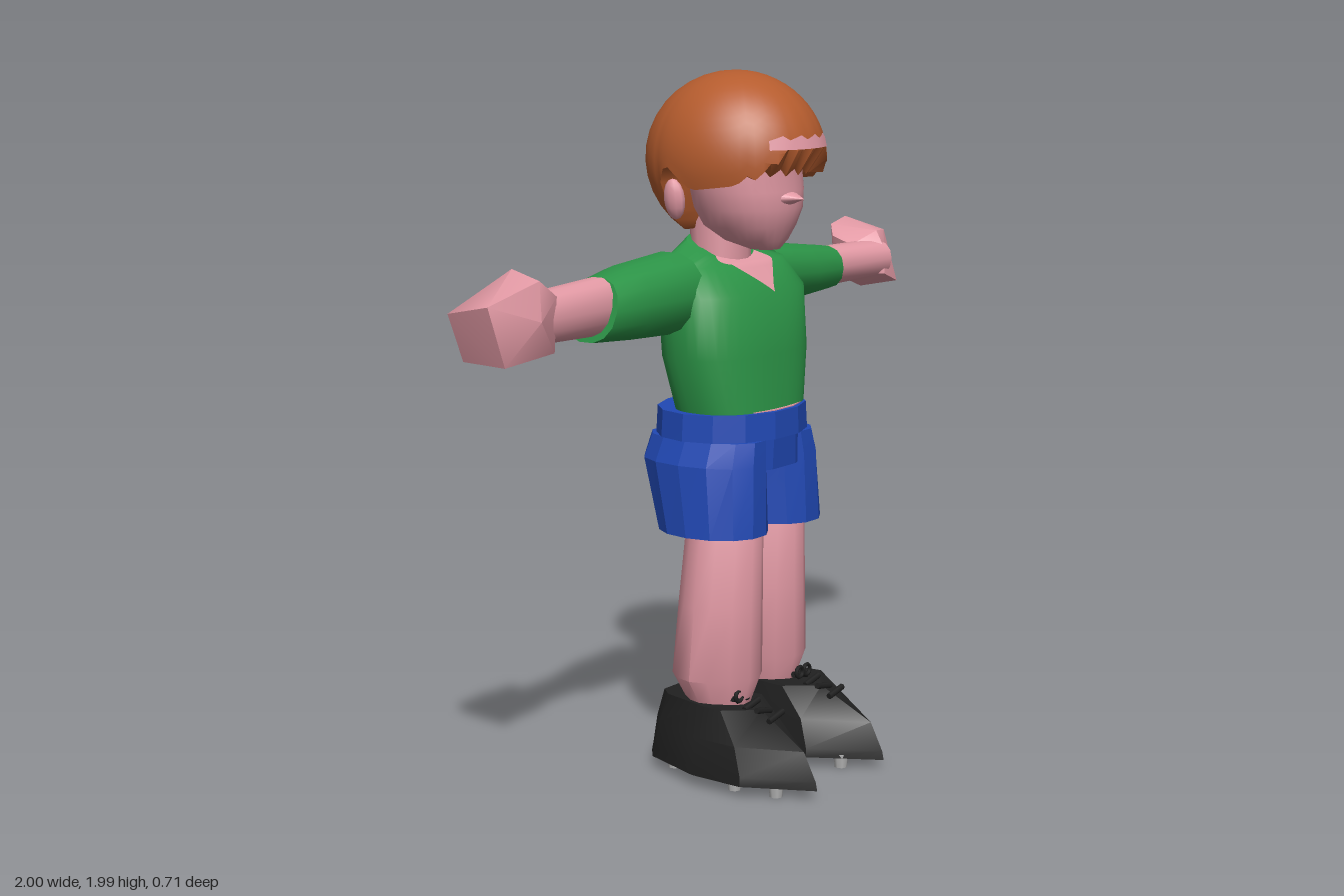
import * as THREE from 'three';
import { toCreasedNormals } from 'three/addons/utils/BufferGeometryUtils.js';
import { ConvexGeometry } from 'three/addons/geometries/ConvexGeometry.js';

const paint = (name, color, side = THREE.FrontSide) => {
  const m = new THREE.MeshStandardMaterial({ color, side });
  m.name = name;
  return m;
};
const V = (x, y, z) => new THREE.Vector3(x, y, z);
const lerp = THREE.MathUtils.lerp;

// Skin rings of points into a surface; closed solids get end caps and outward faces
function skin(rings, { closed = true, caps = true, crease = 0.75 } = {}) {
  const n = rings[0].length, pos = [], idx = [];
  rings.forEach(r => r.forEach(p => pos.push(p.x, p.y, p.z)));
  for (let i = 0; i < rings.length - 1; i++) {
    for (let j = 0; j < (closed ? n : n - 1); j++) {
      const a = i * n + j, b = i * n + (j + 1) % n;
      idx.push(a, b, b + n, a, b + n, a + n);
    }
  }
  if (caps) [0, rings.length - 1].forEach((i, end) => {
    const c = V(0, 0, 0);
    rings[i].forEach(p => c.addScaledVector(p, 1 / n));
    const k = pos.push(c.x, c.y, c.z) / 3 - 1;
    for (let j = 0; j < n; j++) {
      const a = i * n + j, b = i * n + (j + 1) % n;
      idx.push(...(end ? [k, a, b] : [k, b, a]));
    }
  });
  const at = i => V(pos[i * 3], pos[i * 3 + 1] - 1, pos[i * 3 + 2]);
  let volume = 0;
  for (let i = 0; i < idx.length; i += 3) volume += at(idx[i]).dot(at(idx[i + 1]).cross(at(idx[i + 2])));
  if (volume < 0) idx.reverse();
  const g = new THREE.BufferGeometry();
  g.setAttribute('position', new THREE.Float32BufferAttribute(pos, 3));
  g.setIndex(idx);
  return toCreasedNormals(g, crease);
}

// Rounded-square section point; section = [position, centre1, centre2, half1, half2, tilt]
function sectionPoint([t, c1, c2, h1, h2, tilt = 0], a, p, axis) {
  const f = v => Math.sign(v) * Math.abs(v) ** (2 / p);
  const u = c1 + h1 * f(Math.sin(a)), w = c2 + h2 * f(Math.cos(a));
  const along = t - tilt * Math.cos(a);
  return axis === 'x' ? V(along, w, u) : V(u, along, w);
}
function loft(sections, { n = 16, p = 2.3, axis = 'y', ...rest } = {}) {
  return skin(sections.map(s => Array.from({ length: n },
    (_, j) => sectionPoint(s, (j + 0.5) / n * Math.PI * 2, p, axis))), rest);
}

export function createModel() {
  const model = new THREE.Group();
  const skinTone = paint('skin', 0xe39aa5, THREE.DoubleSide);
  const hairTone = paint('hair', 0xb55c2e, THREE.DoubleSide);
  const green = paint('shirt green', 0x2c9447);
  const blue = paint('shorts blue', 0x2149b5);
  const black = paint('shoe black', 0x202020);
  const grey = paint('stud grey', 0xb4b4b4);
  const add = (name, geo, mat) => {
    const m = new THREE.Mesh(geo, mat);
    m.name = name;
    model.add(m);
    return m;
  };

  // Shirt body, sloping up towards the back of the neck
  const torso = [
    [1.04, 0.01, -0.065, 0.21, 0.145], [1.2, 0.015, -0.085, 0.255, 0.15],
    [1.37, 0.02, -0.1, 0.265, 0.143], [1.45, 0.015, -0.135, 0.243, 0.108],
    [1.495, 0.0, -0.13, 0.11, 0.07, 0.035]];
  add('shirt', loft(torso, { n: 36, p: 2.5, crease: 0.9 }), green);
  add('waist', loft([[1.0, 0.01, -0.07, 0.19, 0.16], [1.048, 0.01, -0.07, 0.19, 0.16]]), skinTone);

  // Open V of the collar, laid just over the shirt
  const collar = [];
  for (let i = 0; i <= 12; i++) {
    const t = 2 + i / 6, k = Math.min(Math.floor(t), 3);
    const s = [0, 1, 2, 3, 4, 5].map(q => lerp(torso[k][q] ?? 0, torso[k + 1][q] ?? 0, t - k));
    const half = 0.9 * (i / 12) ** 1.5 + 0.001;
    collar.push(Array.from({ length: 13 }, (_, j) =>
      sectionPoint(s, (j / 6 - 1) * half, 2.5, 'y').add(V(0, 0.004, 0.006))));
  }
  add('collarOpening', skin(collar, { closed: false, caps: false }), skinTone);

  // Neck, rounded face, small pointed nose and ears
  add('neck', loft([[1.42, 0, -0.12, 0.085, 0.075], [1.6, 0, -0.13, 0.085, 0.085]]), skinTone);
  add('face', loft([
    [1.495, 0.01, 0.02, 0.04, 0.045], [1.52, 0.01, -0.01, 0.09, 0.09], [1.56, 0.01, -0.03, 0.132, 0.127],
    [1.61, 0.01, -0.035, 0.158, 0.148], [1.66, 0.01, -0.04, 0.173, 0.15], [1.72, 0.005, -0.05, 0.18, 0.155],
    [1.785, 0.005, -0.055, 0.18, 0.16], [1.9, 0, -0.07, 0.1, 0.12]],
    { n: 28, p: 2.1, crease: 1.3 }), skinTone);
  const nose = new THREE.ConeGeometry(0.055, 0.08, 16).rotateX(Math.PI / 2).scale(1.3, 0.55, 1);
  add('nose', nose.translate(0.01, 1.64, 0.115), skinTone);
  for (const s of [-1, 1]) {
    const ear = new THREE.SphereGeometry(1, 10, 8).scale(0.024, 0.058, 0.033).rotateZ(-s * 0.15);
    add(s > 0 ? 'leftEar' : 'rightEar', ear.translate(s * 0.195, 1.64, -0.14), skinTone);
  }

  // Hair: a cap whose lower edge follows fringe, temples, ears and nape
  const edge = [[0, 1.79], [22, 1.785], [38, 1.725], [60, 1.685], [88, 1.67], [105, 1.73],
    [113, 1.72], [120, 1.6], [131, 1.545], [180, 1.555]];
  const edgeY = deg => {
    const i = Math.max(1, edge.findIndex(e => e[0] >= deg));
    const [a, b] = [edge[i - 1], edge[i]];
    return lerp(a[1], b[1], (deg - a[0]) / (b[0] - a[0]));
  };
  const scalp = (a, th, r, y = 1.745 + 0.245 * Math.cos(th)) => V(0.005 + 0.235 * r * Math.sin(a), y, -0.075 + 0.265 * r * Math.cos(a));
  const hairRings = [];
  for (let i = 0; i <= 15; i++) {
    hairRings.push(Array.from({ length: 72 }, (_, j) => {
      const deg = j * 5 > 180 ? 360 - j * 5 : j * 5, a = j * 5 * Math.PI / 180;
      const jag = deg < 60 ? (j % 3 - 1) * 0.01 : 0;
      const low = Math.acos((edgeY(deg) + jag - 1.745) / 0.245);
      const th = low * Math.min(i, 14) / 14 + 0.001, r = Math.sin(th);
      // the last ring tucks under; at the brow it also drops as a second fringe
      if (i < 15) return scalp(a, th, r);
      return deg < 45 ? scalp(a, th, 0.8, 1.715 + jag) : scalp(a, th, r * 0.6);
    }));
  }
  add('hair', skin(hairRings, { caps: false, crease: 0.9 }), hairTone);

  // Sliver of forehead between the two layers of fringe
  add('foreheadSliver', skin([0, 1].map(k => Array.from({ length: 13 }, (_, j) => {
    const th = Math.acos((1.782 + k * (0.026 + (j % 3) * 0.006) - 1.745) / 0.245);
    return scalp((j / 12 * 62 - 36) * Math.PI / 180, th, Math.sin(th) * 1.012);
  })), { closed: false, caps: false }), skinTone);

  // Sleeves with slanted hems, and forearms
  const limb = { n: 14, axis: 'x' };
  add('rightSleeve', loft([[-0.19, -0.16, 1.378, 0.12, 0.115], [-0.4, -0.165, 1.372, 0.108, 0.102],
    [-0.53, -0.165, 1.367, 0.087, 0.087, -0.028]], limb), green);
  add('rightForearm', loft([[-0.48, -0.165, 1.375, 0.07, 0.08], [-0.79, -0.165, 1.37, 0.06, 0.068]], limb), skinTone);
  add('leftSleeve', loft([[0.255, -0.19, 1.385, 0.11, 0.088], [0.45, -0.185, 1.375, 0.1, 0.08],
    [0.615, -0.19, 1.368, 0.075, 0.066]], limb), green);
  add('leftForearm', loft([[0.57, -0.19, 1.37, 0.07, 0.06], [0.86, -0.165, 1.375, 0.066, 0.056]], limb), skinTone);

  // Blocky fists with softened edges
  const fist = pts => toCreasedNormals(new ConvexGeometry(pts.map(p => V(...p))), 0.8);
  add('rightHand', fist([[-1, 1.43, -0.12], [-0.985, 1.4, -0.27], [-0.96, 1.27, -0.1], [-0.94, 1.27, -0.26],
    [-0.79, 1.5, -0.22], [-0.82, 1.48, -0.1], [-0.74, 1.44, -0.24], [-0.74, 1.43, -0.11],
    [-0.77, 1.265, -0.2], [-0.74, 1.28, -0.12], [-0.86, 1.38, -0.06], [-0.83, 1.38, -0.3]]), skinTone);
  add('leftHand', fist([[0.77, 1.42, -0.19], [0.78, 1.33, -0.2], [0.8, 1.44, -0.28], [0.81, 1.32, -0.28],
    [0.85, 1.47, -0.32], [0.96, 1.485, -0.34], [0.96, 1.33, -0.36], [0.995, 1.33, -0.18],
    [0.97, 1.45, -0.2], [0.915, 1.3, -0.115], [0.83, 1.33, -0.105], [0.84, 1.41, -0.115],
    [0.9, 1.275, -0.24], [0.85, 1.46, -0.15]]), skinTone);

  // Shorts: waistband, seat and two flared legs meeting in the middle
  const cloth = { n: 14, p: 2.1, crease: 0.2 };
  add('waistband', loft([[0.968, 0.005, -0.09, 0.238, 0.198], [1.045, 0.005, -0.09, 0.232, 0.195]], cloth), blue);
  add('shortsSeat', loft([[0.88, 0.005, -0.095, 0.235, 0.192], [0.97, 0.005, -0.09, 0.222, 0.19]], cloth), blue);
  for (const s of [-1, 1]) {
    const c = x => 0.005 + s * x;
    add(s > 0 ? 'leftShortsLeg' : 'rightShortsLeg', loft([
      [0.7, c(0.131), -0.06, 0.131, 0.165], [0.9, c(0.124), -0.095, 0.126, 0.196],
      [0.968, c(0.112), -0.09, 0.112, 0.185]], cloth), blue);
  }

  // Legs, boots, laces and studs
  const feet = [
    { side: 'right', leg: -0.137, z: -0.03, sole: -0.18, toe: -0.2 },
    { side: 'left', leg: 0.142, z: -0.07, sole: 0.145, toe: 0.14 }];
  for (const { side, leg, z, sole, toe } of feet) {
    add(side + 'Leg', loft([[0.18, leg, z, 0.085, 0.09], [0.22, leg, z - 0.005, 0.095, 0.105],
      [0.29, leg, z - 0.01, 0.135, 0.136], [0.5, leg * 0.97, z, 0.128, 0.126],
      [0.69, leg * 0.94, z + 0.01, 0.116, 0.118], [0.78, leg * 0.94, z, 0.09, 0.1]], { n: 14, p: 1.7 }), skinTone);
    // Each boot ring: pointed toe, wide ball, narrower heel
    const ring = (y, cx, hx, tx, tz, ball, heel) => [V(tx, y - 0.01, tz),
      V(cx + hx, y, ball), V(cx + hx * 0.95, y, 0), V(leg + hx * 0.75, y, heel + 0.04), V(leg + hx * 0.4, y, heel),
      V(leg - hx * 0.4, y, heel), V(leg - hx * 0.75, y, heel + 0.04), V(cx - hx * 0.95, y, 0), V(cx - hx, y, ball)];
    const mid = (sole + leg) / 2;
    add(side + 'Boot', skin([
      ring(0.035, sole, 0.14, toe, 0.35, 0.17, -0.235), ring(0.06, sole, 0.138, toe, 0.345, 0.17, -0.23),
      ring(0.14, sole, 0.122, toe, 0.305, 0.14, -0.22), ring(0.22, mid, 0.1, mid, 0.13, 0.06, -0.2)],
      { crease: 0.6 }), black);
    for (let i = 0; i < 4; i++) {
      const lace = add(side + 'Lace', new THREE.CylinderGeometry(0.009, 0.009, 0.07, 6), black);
      lace.position.set(mid, 0.2 + (3 - i) * 0.01, 0.18 - (3 - i) * 0.042);
      lace.rotation.z = Math.PI / 2 + (i % 2 ? 0.2 : -0.2);
    }
    for (const s of [-1, 1]) {
      const bow = add(side + 'LaceBow', new THREE.TorusGeometry(0.016, 0.006, 6, 10), black);
      bow.position.set(mid + s * 0.018, 0.243, 0.065);
      for (const [dx, sz] of [[0.062, 0.24], [0.08, 0.11], [0.06, -0.15]]) {
        const stud = add(side + 'Stud', new THREE.CylinderGeometry(0.022, 0.018, 0.04, 8), grey);
        stud.position.set((sz < 0 ? leg : sole) + s * dx, 0.02, sz);
      }
    }
  }
  return model;
}
